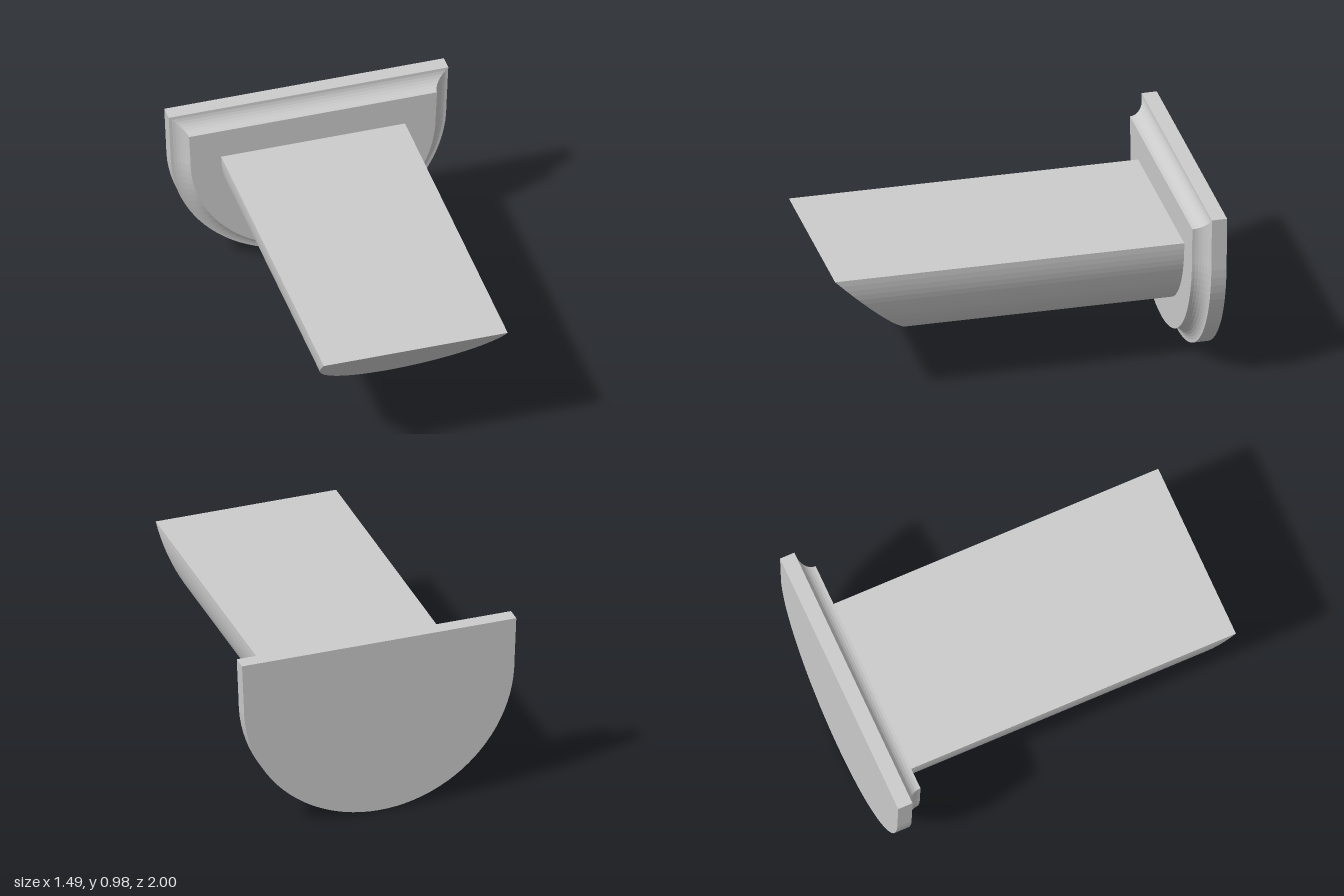
import * as THREE from 'three';

const CY = 0.735; // height of the centre shared by both half-round outlines

const material = new THREE.MeshStandardMaterial({ color: 0xcccccc, flatShading: true });

// Half-circle points, counter-clockwise from left to right through the bottom
function halfCircle(radius, segments) {
  return Array.from({ length: segments + 1 }, (_, i) => {
    const a = Math.PI * (1 + i / segments);
    return [radius * Math.cos(a), CY + radius * Math.sin(a)];
  });
}

// Solid skin through convex cross-sections ordered from back to front
function loft(sections) {
  const pos = [];
  const tri = (...pts) => pts.forEach((p) => pos.push(p.x, p.y, p.z));
  const n = sections[0].length;
  for (let s = 0; s < sections.length - 1; s++) {
    for (let j = 0; j < n; j++) {
      const k = (j + 1) % n;
      const [a, b, c, d] = [sections[s][j], sections[s][k], sections[s + 1][k], sections[s + 1][j]];
      tri(a, b, c);
      tri(a, c, d);
    }
  }
  const middle = (ring) => ring.reduce((m, p) => m.add(p), new THREE.Vector3()).divideScalar(n);
  const back = sections[0], front = sections[sections.length - 1];
  const backMid = middle(back), frontMid = middle(front);
  for (let j = 0; j < n; j++) {
    const k = (j + 1) % n;
    tri(backMid, back[k], back[j]);
    tri(frontMid, front[j], front[k]);
  }
  const geometry = new THREE.BufferGeometry();
  geometry.setAttribute('position', new THREE.Float32BufferAttribute(pos, 3));
  geometry.computeVertexNormals();
  return geometry;
}

// Plate outline: half circle with slightly flaring sides, moved inwards by d
function plateSection(d, z) {
  const top = 0.98 - d, side = 0.745 - d * 1.03;
  return [[-side, top], ...halfCircle(0.735 - d, 48), [side, top]]
    .map(([x, y]) => new THREE.Vector3(x, y, z));
}

export function createModel() {
  const group = new THREE.Group();
  const add = (name, geometry) => {
    const mesh = new THREE.Mesh(geometry, material);
    mesh.name = name;
    group.add(mesh);
  };

  // Wall plate: straight rim, then a concave quarter-round up to the front face
  const plate = [plateSection(0, -1)];
  const steps = 8, cove = 0.082;
  for (let i = 0; i <= steps; i++) {
    const a = (i / steps) * Math.PI / 2;
    plate.push(plateSection(cove * Math.sin(a), -0.92 + cove * (1 - Math.cos(a))));
  }
  add('wallPlate', loft(plate));

  // Half-round spout with its front end cut at 45 degrees
  const outline = halfCircle(0.49, 48);
  add('spout', loft([
    outline.map(([x, y]) => new THREE.Vector3(x, y, -0.84)),
    outline.map(([x, y]) => new THREE.Vector3(x, y, 1 - (CY - y))),
  ]));

  return group;
}
